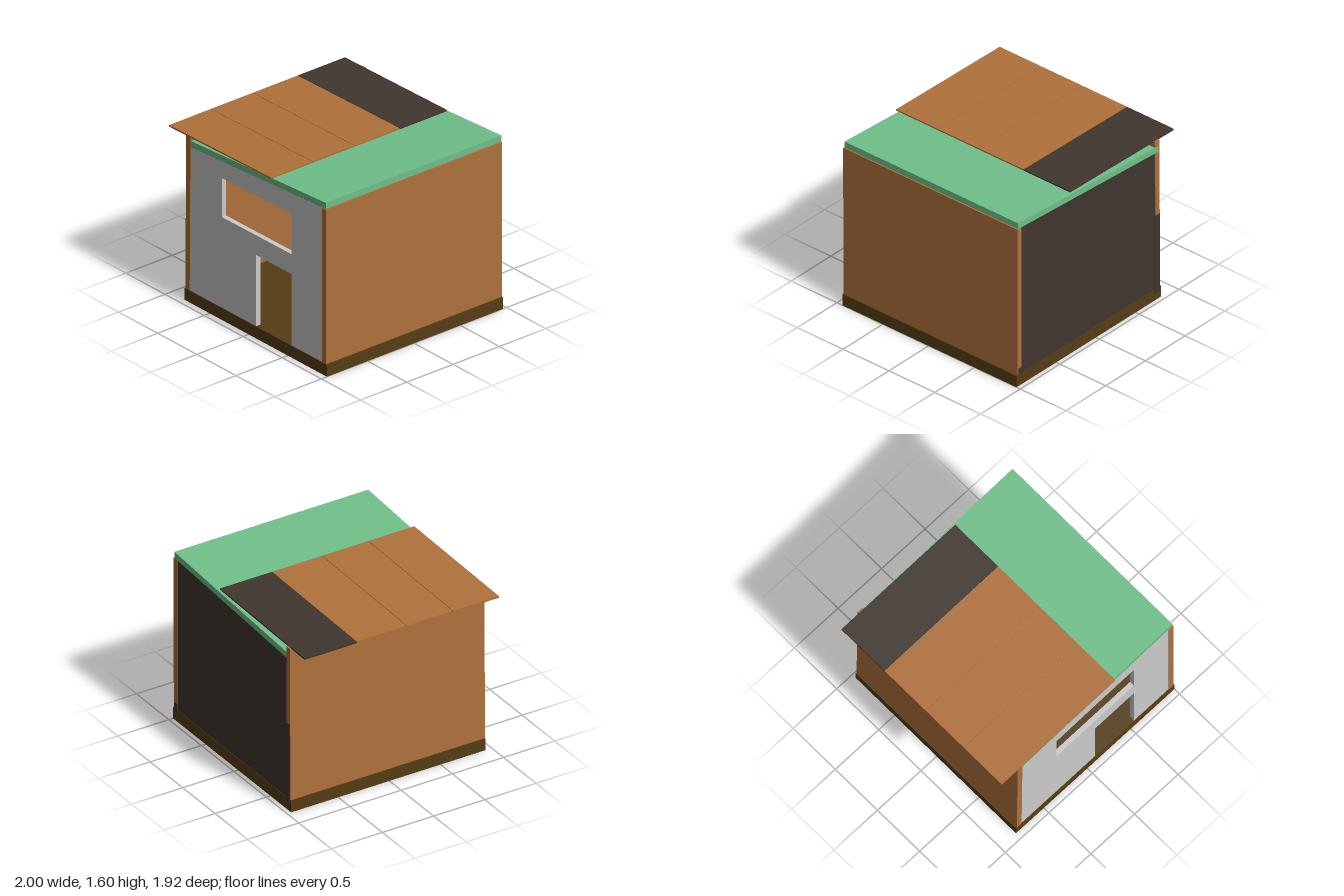
import * as THREE from 'three';

const mat = (color) => new THREE.MeshStandardMaterial({ color, flatShading: true });

export function createModel() {
  const house = new THREE.Group();
  house.name = 'smallHouse';
  const grey = mat(0xcccccc), brown = mat(0xb0713b), green = mat(0x70c08a);
  const dark = mat(0x40362f), olive = mat(0x553d15);

  const add = (name, geometry, material) => {
    const mesh = new THREE.Mesh(geometry, material);
    mesh.name = name;
    house.add(mesh);
    return mesh;
  };
  // Box given by its limits on each axis
  const box = (name, material, [x0, x1], [y0, y1], [z0, z1]) => {
    const mesh = add(name, new THREE.BoxGeometry(x1 - x0, y1 - y0, z1 - z0), material);
    mesh.position.set((x0 + x1) / 2, (y0 + y1) / 2, (z0 + z1) / 2);
    return mesh;
  };
  // Outline in the front plane, extruded from z0 to z1
  const slab = (name, material, points, z0, z1, holes = []) => {
    const toPoints = (list) => list.map(([x, y]) => new THREE.Vector2(x, y));
    const shape = new THREE.Shape(toPoints(points));
    holes.forEach((hole) => shape.holes.push(new THREE.Path(toPoints(hole))));
    const geometry = new THREE.ExtrudeGeometry(shape, { depth: z1 - z0, bevelEnabled: false });
    geometry.translate(0, 0, z0);
    return add(name, geometry, material);
  };

  // Foundation
  box('foundation', olive, [-0.82, 1], [0, 0.11], [-0.96, 0.94]);

  // Side walls; the low side leans in slightly and rises past the roof slab
  slab('rightWall', brown, [[-0.81, 0.11], [-0.755, 0.11], [-0.745, 1.55], [-0.8, 1.55]], -0.96, 0.94);
  slab('leftWall', brown, [[0.935, 0.11], [0.988, 0.11], [0.99, 1.543], [0.935, 1.54]], -0.96, 0.94);

  // Front wall with a door notch and a window
  slab('frontWall', grey,
    [[-0.755, 0.11], [0.09, 0.11], [0.09, 0.77], [0.54, 0.77], [0.54, 0.11],
      [0.935, 0.11], [0.935, 1.542], [-0.745, 1.443]],
    0.89, 0.935,
    [[[-0.35, 0.95], [-0.35, 1.31], [0.1, 1.325], [0.54, 1.335], [0.54, 0.955]]]);

  // Back wall and the lower strips that lap over the side wall edges
  slab('backWall', dark, [[-0.755, 0.11], [0.935, 0.11], [0.935, 1.542], [-0.745, 1.443]], -0.957, -0.92);
  box('backLapRight', dark, [-0.8, -0.74], [0.07, 0.83], [-0.966, -0.95]);
  box('backLapLeft', dark, [0.93, 0.975], [0.11, 0.17], [-0.964, -0.95]);

  // Sloping roof slab
  slab('roofSlab', green, [[-0.79, 1.44], [0.98, 1.545], [0.98, 1.602], [-0.79, 1.496]], -0.96, 0.935);

  // Thin roof sheets laid side by side, with narrow seams
  const edges = [-0.942, -0.432, 0.057, 0.508, 0.96];
  for (let i = 0; i < 4; i++) {
    slab(`roofSheet${i + 1}`, i === 0 ? dark : brown,
      [[-1, 1.54], [0.305, 1.567], [0.305, 1.579], [-1, 1.555]],
      edges[i], edges[i + 1] - 0.004);
  }

  return house;
}
